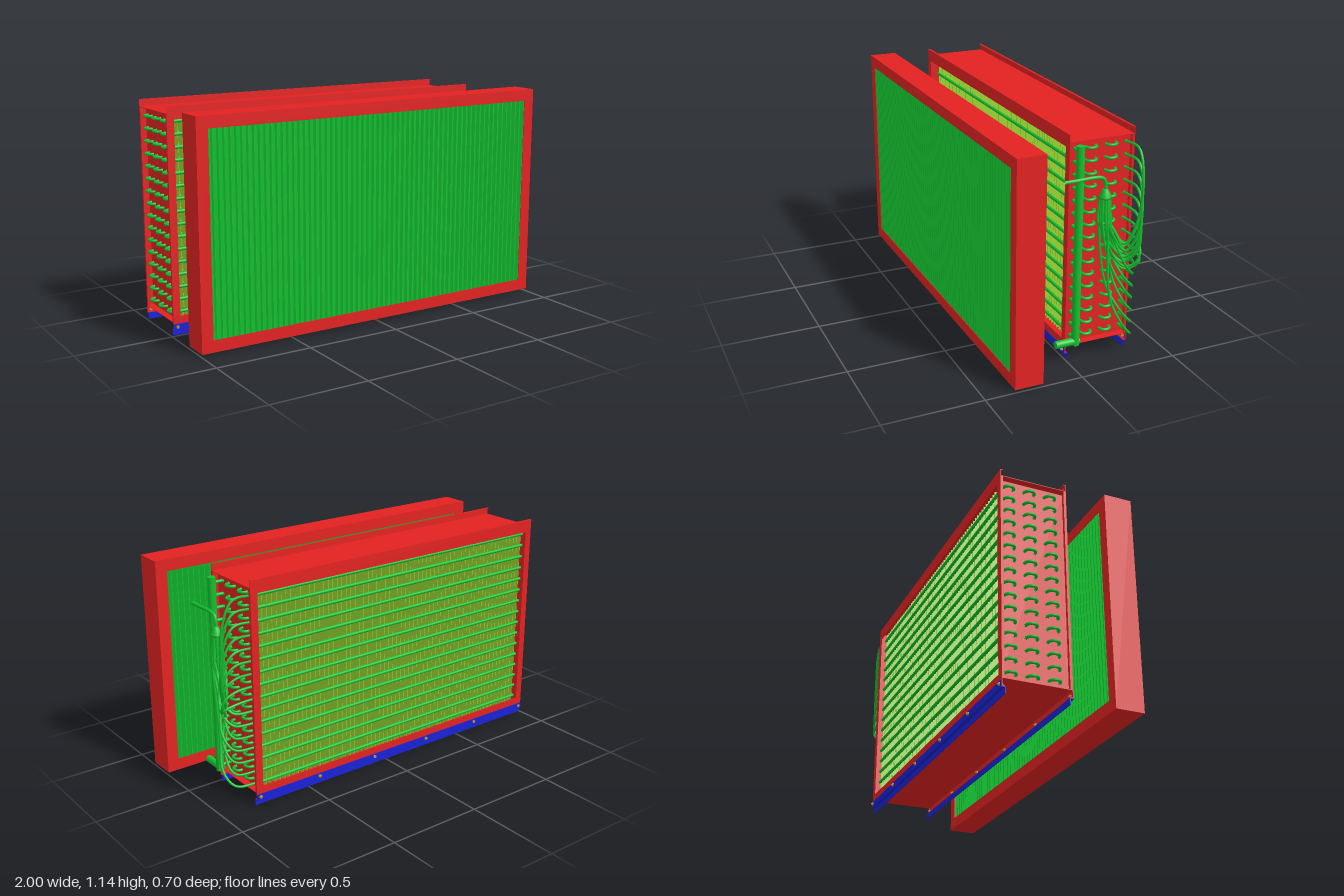
import * as THREE from 'three';

const mat = (color) => new THREE.MeshStandardMaterial({ color, side: THREE.DoubleSide });
const red = mat(0xe32222), green = mat(0x14c030), lime = mat(0x9ad732), blue = mat(0x1a22d6), brass = mat(0xc8922a);

function add(parent, name, geometry, material) {
  const mesh = new THREE.Mesh(geometry, material);
  mesh.name = name;
  parent.add(mesh);
  return mesh;
}

// Box given by its limits on each axis
function box(parent, name, material, x0, x1, y0, y1, z0, z1) {
  const g = new THREE.BoxGeometry(x1 - x0, y1 - y0, z1 - z0);
  return add(parent, name, g.translate((x0 + x1) / 2, (y0 + y1) / 2, (z0 + z1) / 2), material);
}

// Round bar between two points
function rod(parent, name, material, a, b, r, sides = 12) {
  const p = new THREE.Vector3(...a), q = new THREE.Vector3(...b), d = q.clone().sub(p);
  const m = add(parent, name, new THREE.CylinderGeometry(r, r, d.length(), sides), material);
  m.position.copy(p).add(q).multiplyScalar(0.5);
  m.quaternion.setFromUnitVectors(new THREE.Vector3(0, 1, 0), d.normalize());
  return m;
}

function tube(parent, name, points, r, segments = 32) {
  const curve = new THREE.CatmullRomCurve3(points.map((p) => new THREE.Vector3(...p)));
  return add(parent, name, new THREE.TubeGeometry(curve, segments, r, 8), green);
}

const T = 0.003; // sheet thickness
const X0 = -0.99, X1 = 0.815, PL = -0.955, PR = 0.78; // casing ends and tube plates
const ZB = -0.34, Y0 = 0.07, Y1 = 1.11;
const rows = Array.from({ length: 16 }, (_, i) => 0.11 + i * 0.0637);
const columns = Array.from({ length: 6 }, (_, i) => -0.047 - i * 0.0533);

// Front frame holding the zigzag blades
function buildEliminator() {
  const g = new THREE.Group();
  g.name = 'dropletEliminator';
  const y0 = 0.015, y1 = 1.14, z0 = 0.205, z1 = 0.35, w = 0.06;
  for (const s of [-1, 1]) box(g, 'frameSide', red, s < 0 ? -1 : 1 - T, s < 0 ? -1 + T : 1, y0, y1, z0, z1);
  box(g, 'frameTop', red, -1, 1, y1 - T, y1, z0, z1);
  box(g, 'frameBottom', red, -1, 1, y0, y0 + T, z0, z1);
  for (const z of [z0, z1 - T]) {
    box(g, 'frameLip', red, -1, 1, y1 - w, y1, z, z + T);
    box(g, 'frameLip', red, -1, 1, y0, y0 + w, z, z + T);
    box(g, 'frameLip', red, -1, -1 + w, y0 + w, y1 - w, z, z + T);
    box(g, 'frameLip', red, 1 - w, 1, y0 + w, y1 - w, z, z + T);
  }
  // Zigzag blade cross-section, extruded upwards
  const zig = [0, 1, 2, 3, 4].map((i) => [i % 2 ? 0.016 : -0.016, 0.212 + i * 0.0325]);
  const outline = [...zig.map(([x, z]) => [x - 0.002, z]), ...zig.reverse().map(([x, z]) => [x + 0.002, z])];
  const shape = new THREE.Shape(outline.map(([x, z]) => new THREE.Vector2(x, -z)));
  const blade = new THREE.ExtrudeGeometry(shape, { depth: y1 - y0 - 0.01, bevelEnabled: false }).rotateX(-Math.PI / 2);
  const count = 64;
  for (let i = 0; i < count; i++) {
    add(g, 'blade', blade, green).position.set(-0.96 + (1.92 * i) / (count - 1), y0 + 0.005, 0);
  }
  return g;
}

// Sheet-metal casing, floor rails and bolts
function buildCasing() {
  const g = new THREE.Group();
  g.name = 'casing';
  box(g, 'topPlate', red, X0, X1, Y1 - T, Y1, ZB, 0);
  box(g, 'bottomPlate', red, X0, X1, Y0, Y0 + T, ZB, 0);
  box(g, 'tubePlate', red, PR - T, PR, Y0, Y1, ZB, 0);
  box(g, 'tubePlate', red, PL, PL + T, Y0, Y1, ZB, 0);
  for (const [z, dir] of [[0, -1], [ZB, 1]]) {
    const span = (a, b) => [z + dir * a, z + dir * b].sort((p, q) => p - q);
    const [a, b] = span(0, T), [c, d] = span(0, 0.013);
    box(g, 'topFlange', red, X0, X1, Y1 - 0.03, 1.145, a, b);
    box(g, 'topLip', red, X0, X1, 1.142, 1.145, c, d);
    box(g, 'bottomFlange', red, X0, X1, 0.033, Y0 + 0.03, a, b);
    box(g, 'bottomLip', red, X0, X1, 0.033, 0.036, c, d);
    box(g, 'sideFlange', red, PR, X1, Y0, Y1, a, b);
    box(g, 'sideFlange', red, X0, PL, Y0, Y1, a, b);
    box(g, 'sideLip', red, X1 - T, X1, Y0, Y1, c, d);
    box(g, 'sideLip', red, X0, X0 + T, Y0, Y1, c, d);
    // Stepped floor rail
    box(g, 'railUpper', blue, X0, X1, 0.03, 0.062, ...span(-T, 0));
    box(g, 'railStep', blue, X0, X1, 0.029, 0.032, ...span(-T, 0.017));
    box(g, 'railLower', blue, X0, X1, 0, 0.031, ...span(0.014, 0.017));
    for (let i = 0; i < 6; i++) {
      const x = -0.97 + i * 0.353, y = 0.048;
      rod(g, 'boltShank', brass, [x, y, z - 0.014], [x, y, z + 0.014], 0.004, 8);
      rod(g, 'boltHead', brass, [x, y, z - dir * 0.003], [x, y, z - dir * 0.009], 0.009, 6);
      rod(g, 'boltNut', brass, [x, y, z + dir * 0.003], [x, y, z + dir * 0.008], 0.009, 6);
    }
  }
  return g;
}

// Fin pack, straight tubes and return bends
function buildCoil() {
  const g = new THREE.Group();
  g.name = 'coil';
  const fin = new THREE.BoxGeometry(0.002, Y1 - Y0 - 0.01, 0.266);
  for (let i = 0; i < 64; i++) {
    add(g, 'fin', fin, lime).position.set(PL + 0.014 + i * 0.0271, (Y0 + Y1) / 2, -0.18);
  }
  const bend = new THREE.TorusGeometry(0.0267, 0.0075, 8, 12, Math.PI).rotateX(Math.PI / 2).rotateY(Math.PI / 2);
  for (const y of rows) {
    for (const z of columns) rod(g, 'coilTube', green, [PL - 0.003, y, z], [PR + 0.004, y, z], 0.0085, 10);
    for (let i = 0; i < 5; i++) {
      const right = i % 2 === 1;
      const m = add(g, 'returnBend', bend, green);
      m.position.set(right ? PR + 0.002 : PL - 0.002, y, (columns[i] + columns[i + 1]) / 2);
      m.rotation.y = right ? 0 : Math.PI;
    }
  }
  return g;
}

// Suction header with its stubs and outlet
function buildHeader() {
  const g = new THREE.Group();
  g.name = 'header';
  const x = 0.84, z = -0.043;
  rod(g, 'headerPipe', green, [x, 0.085, z], [x, 1.095, z], 0.02, 20);
  rod(g, 'headerOutlet', green, [x, 0.104, z - 0.018], [x, 0.104, 0.064], 0.019, 20);
  for (const y of rows) rod(g, 'headerStub', green, [PR, y, z], [x, y, z], 0.0085, 10);
  return g;
}

// Inlet pipe, distributor cone and feeder tubes
function buildDistributor() {
  const g = new THREE.Group();
  g.name = 'distributor';
  const x = 0.89, z = -0.15;
  tube(g, 'inletPipe', [[x, 0.95, 0.062], [x, 0.95, 0], [x, 0.95, -0.115], [x, 0.94, -0.14], [x, 0.915, z], [x, 0.88, z]], 0.009);
  const profile = [[0, 0.845], [0.03, 0.845], [0.03, 0.855], [0.015, 0.885], [0.011, 0.892], [0, 0.892]];
  add(g, 'distributorCone', new THREE.LatheGeometry(profile.map((p) => new THREE.Vector2(...p)), 20), green).position.set(x, 0, z);
  rows.forEach((y, i) => {
    const a = i * 2.4, dx = 0.023 * Math.cos(a), dz = 0.023 * Math.sin(a);
    const points = [[x + dx, 0.85, z + dz], [x + dx * 1.3, 0.72, z + dz * 1.2 - 0.002]];
    if (y > 0.5) {
      // Upper rows sag, then climb to their tube
      const low = 0.47 + (y - 0.5) * 0.25, rise = y - low;
      points.push([x + dx, low + 0.08, -0.183 + dz * 0.6], [0.92 + dx * 0.5, low, -0.245],
        [0.95 + dx * 0.5, low + rise * 0.25, -0.292], [0.955, low + rise * 0.7, -0.31], [0.9, y - 0.004, -0.317]);
    } else {
      // Lower rows drop straight to their tube
      points.push([x + dx, y + 0.22, -0.185 + dz * 0.4], [0.93 + dx * 0.5, y + 0.08, -0.245], [0.91, y + 0.015, -0.302]);
    }
    points.push([PR, y, columns[5]]);
    tube(g, 'feederTube', points, 0.0065, 40);
  });
  return g;
}

export function createModel() {
  const model = new THREE.Group();
  model.name = 'coolingCoilUnit';
  model.add(buildEliminator(), buildCasing(), buildCoil(), buildHeader(), buildDistributor());
  return model;
}
